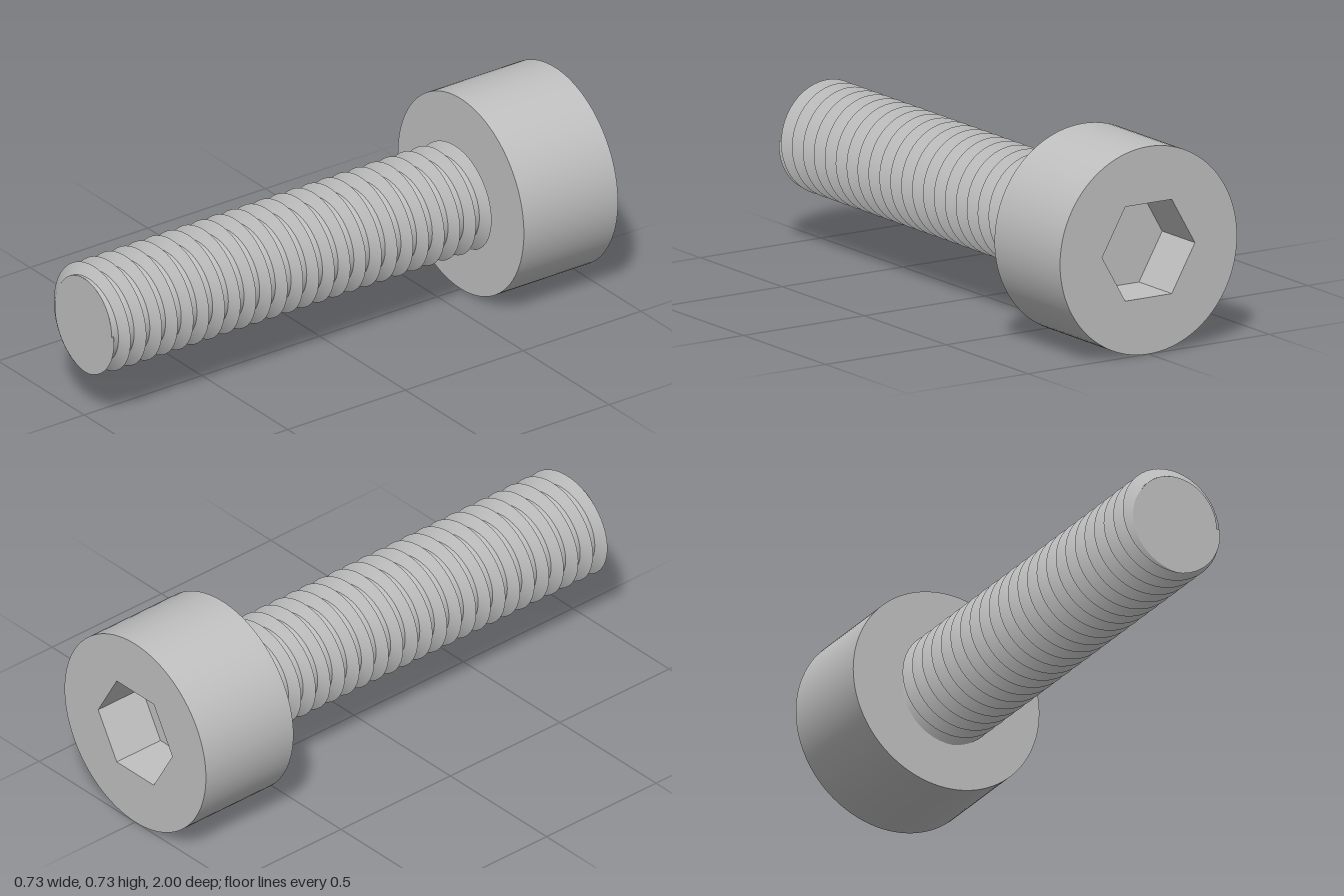
import * as THREE from 'three';

const HEAD_R = 0.367, BACK = -1, SEAT = -0.6, TIP = 1;
const CORE_R = 0.16, CREST_R = 0.2, PITCH = 1.6 / 24, HALF = 0.023;
const HEX_R = 0.1925, HEX_DEPTH = 0.2;
const TURNS = 25, STEPS = 48, END = TIP + 0.0155;

// Smooth surface between two rows of points
function strip(rowA, rowB) {
  const n = rowA.length, index = [];
  for (let i = 0; i < n - 1; i++) {
    index.push(i, i + 1, n + i + 1, i, n + i + 1, n + i);
  }
  const g = new THREE.BufferGeometry().setFromPoints([...rowA, ...rowB]);
  g.setIndex(index);
  g.computeVertexNormals();
  return g;
}

// Thread radius at height z for a crest centred on c
const radiusAt = (z, c) => Math.max(CORE_R, CREST_R - (CREST_R - CORE_R) * Math.abs(z - c) / HALF);

function polar(r, t, z) {
  return new THREE.Vector3(r * Math.cos(t), r * Math.sin(t), z);
}

export function createModel() {
  const model = new THREE.Group();
  model.name = 'socketHeadScrew';
  const body = new THREE.Group();
  body.name = 'screw';
  body.position.y = HEAD_R;
  model.add(body);

  const steel = new THREE.MeshStandardMaterial({ color: 0xc0c0c0, side: THREE.DoubleSide });
  steel.name = 'steel grey';
  const add = (name, geometry, z = 0) => {
    const mesh = new THREE.Mesh(geometry, steel);
    mesh.name = name;
    mesh.position.z = z;
    body.add(mesh);
    return mesh;
  };

  // Cylindrical head with a hexagonal socket in the back
  add('headSide', new THREE.CylinderGeometry(HEAD_R, HEAD_R, SEAT - BACK, 96, 1, true).rotateX(Math.PI / 2), (BACK + SEAT) / 2);
  add('headSeat', new THREE.CircleGeometry(HEAD_R, 96), SEAT);

  const hex = [];
  for (let i = 0; i < 6; i++) {
    const a = i * Math.PI / 3;
    hex.push(new THREE.Vector2(HEX_R * Math.cos(a), HEX_R * Math.sin(a)));
  }
  const face = new THREE.Shape().absarc(0, 0, HEAD_R, 0, Math.PI * 2);
  face.holes.push(new THREE.Path(hex));
  add('headBack', new THREE.ShapeGeometry(face, 48).rotateY(Math.PI), BACK);
  add('socketFloor', new THREE.ShapeGeometry(new THREE.Shape(hex)).rotateY(Math.PI), BACK + HEX_DEPTH);

  // Socket walls, one flat quad per side, facing inward
  hex.forEach((p, i) => {
    const q = hex[(i + 1) % 6];
    const row = z => [new THREE.Vector3(q.x, q.y, z), new THREE.Vector3(p.x, p.y, z)];
    add('socketWall', strip(row(BACK), row(BACK + HEX_DEPTH)));
  });

  // Shank core
  add('shankCore', new THREE.CylinderGeometry(CORE_R, CORE_R, TIP - SEAT, 96, 1, true).rotateX(Math.PI / 2), (SEAT + TIP) / 2);

  // Right-handed thread, trimmed flush with the tip
  const rear = [], crest = [], front = [], rim = [], centre = [];
  for (let i = 0; i <= TURNS * STEPS; i++) {
    const t = i / STEPS * Math.PI * 2;
    const c = END - (TURNS - i / STEPS) * PITCH;
    const point = z => {
      const zc = Math.min(z, TIP);
      return polar(radiusAt(zc, c), t, zc);
    };
    rear.push(point(c - HALF));
    crest.push(point(c));
    front.push(point(c + HALF));
    if (i >= (TURNS - 1) * STEPS) {
      rim.push(polar(radiusAt(TIP, c), t, TIP));
      centre.push(new THREE.Vector3(0, 0, TIP));
    }
  }
  add('threadRearFlank', strip(rear, crest));
  add('threadFrontFlank', strip(crest, front));

  // Flat tip and the small step where the thread runs out
  add('tipFace', strip(rim, centre));
  const last = TURNS * STEPS;
  const step = new THREE.BufferGeometry().setFromPoints([rear[last], polar(CORE_R, 0, TIP), crest[last]]);
  step.computeVertexNormals();
  add('threadEnd', step);

  return model;
}
